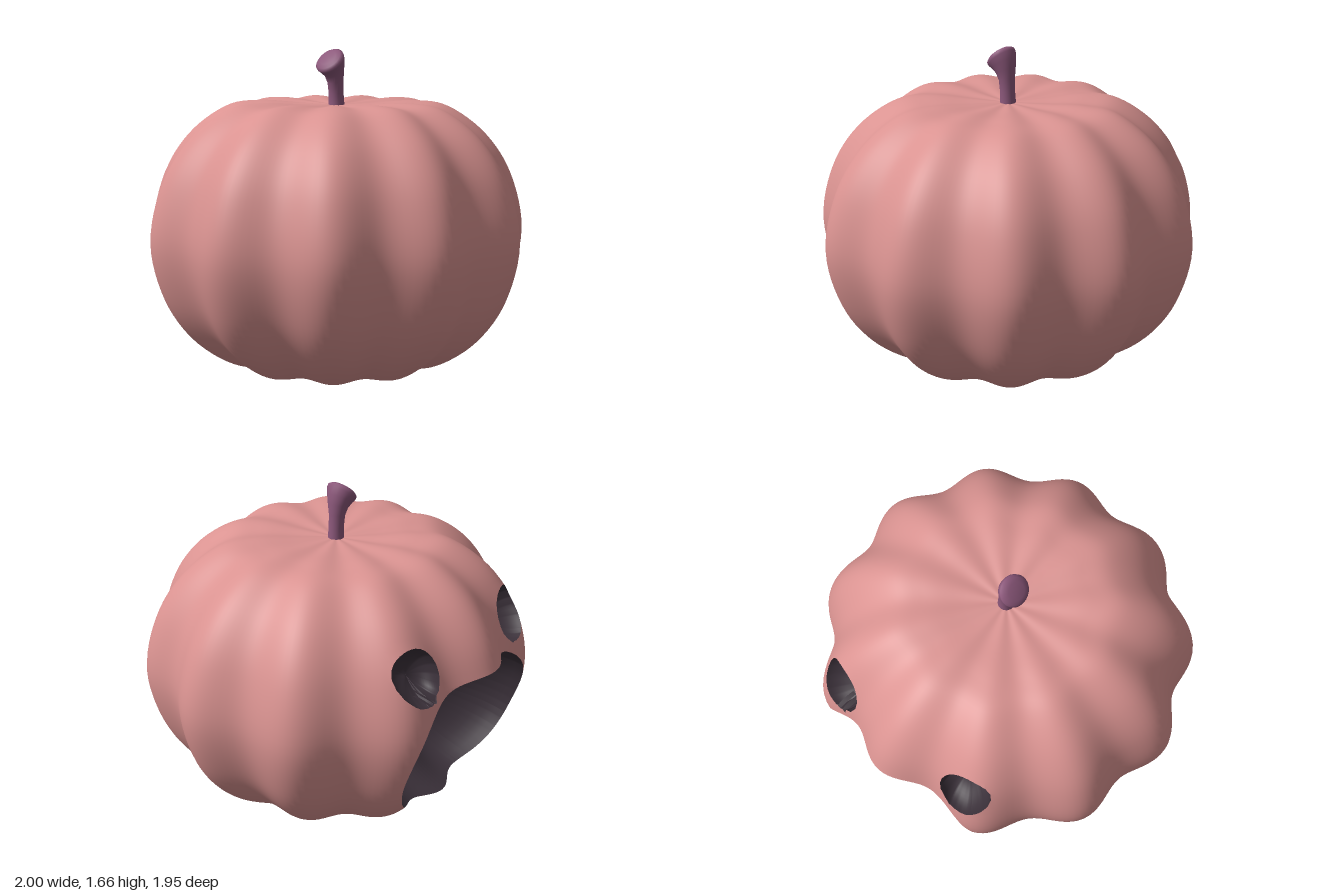
import * as THREE from 'three';
import { mergeVertices } from 'three/addons/utils/BufferGeometryUtils.js';

const MID = 0.695, RIBS = 11;

// Half profile of the body from top to bottom: radius, height
const upper = [[0, 1.368], [0.2, 1.378], [0.42, 1.389], [0.6, 1.356], [0.8, 1.21], [0.943, 0.99]];
const lower = upper.map(([r, y]) => [r, 2 * MID - y]).reverse();
const profile = new THREE.SplineCurve(
  [...upper, [1.009, MID], ...lower].map(([r, y]) => new THREE.Vector2(r, y)));

// Hollows carved into the back: centre, half width, half height, roundness,
// and depth as a share of the way to the middle of the body
const bodyCentre = new THREE.Vector3(0, MID, 0);
const hollows = [
  { centre: new THREE.Vector3(0.42, 1.005, -0.8), w: 0.13, h: 0.133, n: 2, depth: 0.15 },
  { centre: new THREE.Vector3(-0.42, 1.005, -0.8), w: 0.13, h: 0.133, n: 2, depth: 0.15 },
  { centre: new THREE.Vector3(0, 0.505, -0.78), w: 0.53, h: 0.407, n: 2.15, depth: 0.55 },
];
for (const hollow of hollows) {
  hollow.inward = bodyCentre.clone().sub(hollow.centre).multiplyScalar(hollow.depth);
}

// Ribbed skin at angle a (from +z) and profile position t
function skin(a, t) {
  const p = profile.getPoint(t);
  const groove = (1 - Math.cos(RIBS * (a - Math.PI))) / 2;
  const r = Math.max(0, p.x) * (1 - (0.045 + 0.035 * p.x) * groove);
  const y = MID + (p.y - MID) * (1 - 0.02 * groove * Math.min(1, p.x / 0.42));
  return new THREE.Vector3(r * Math.sin(a), y, r * Math.cos(a));
}

// Negative within the outline of a hollow, positive outside it
function outline({ centre, w, h, n }, pos) {
  if (pos.z > 0) return 1;
  const dx = Math.abs((pos.x - centre.x) / w), dy = Math.abs((pos.y - centre.y) / h);
  return (dx ** n + dy ** n) ** (1 / n) - 1;
}

const solid = (pos) => Math.min(1, ...hollows.map((hollow) => outline(hollow, pos)));

// Rounded bowl wall running from rim edge p-q down to the deepest point
function bowlStrip(p, q, out) {
  const hollow = hollows.reduce((best, other) =>
    Math.abs(outline(other, p)) < Math.abs(outline(best, p)) ? other : best);
  const steps = 14;
  const at = (rim, k) => {
    const s = (k / steps) * Math.PI / 2;
    return rim.clone().sub(hollow.centre).multiplyScalar(Math.cos(s))
      .add(hollow.centre).addScaledVector(hollow.inward, Math.sin(s));
  };
  for (let k = 0; k < steps; k++) {
    const p0 = at(p, k), q0 = at(q, k), p1 = at(p, k + 1), q1 = at(q, k + 1);
    out.push(q0, p0, p1);
    if (k < steps - 1) out.push(q0, p1, q1);
  }
}

function smoothGeometry(points) {
  const g = mergeVertices(new THREE.BufferGeometry().setFromPoints(points), 1e-5);
  g.computeVertexNormals();
  return g;
}

// Cuts the outlines out of the skin and lines each opening with a bowl
function carveBody() {
  const outer = [], bowls = [];
  const cols = 198, rows = 72;
  const grid = [];
  for (let j = 0; j <= rows; j++) {
    grid.push([]);
    for (let i = 0; i <= cols; i++) {
      const a = (i / cols) * Math.PI * 2, t = j / rows, pos = skin(a, t);
      grid[j].push({ a, t, pos, f: solid(pos), cut: false });
    }
  }
  const crossing = (p, q) => {
    const k = p.f / (p.f - q.f);
    return { pos: skin(p.a + (q.a - p.a) * k, p.t + (q.t - p.t) * k), cut: true };
  };
  const addTriangle = (tri) => {
    const poly = [];
    tri.forEach((p, i) => {
      const q = tri[(i + 1) % 3];
      if (p.f >= 0) poly.push(p);
      if ((p.f >= 0) !== (q.f >= 0)) poly.push(p.f >= 0 ? crossing(p, q) : crossing(q, p));
    });
    for (let i = 1; i + 1 < poly.length; i++) {
      outer.push(poly[0].pos, poly[i].pos, poly[i + 1].pos);
    }
    poly.forEach((p, i) => {
      const q = poly[(i + 1) % poly.length];
      if (p.cut && q.cut) bowlStrip(p.pos, q.pos, bowls);
    });
  };
  for (let j = 0; j < rows; j++) {
    for (let i = 0; i < cols; i++) {
      const a = grid[j][i], b = grid[j + 1][i], c = grid[j + 1][i + 1], d = grid[j][i + 1];
      if (j < rows - 1) addTriangle([a, b, c]);
      if (j > 0) addTriangle([a, c, d]);
    }
  }
  return [outer, bowls].map(smoothGeometry);
}

// Stem: rings from tip to base as centre x, y, radius, tilt
function stemGeometry() {
  const rings = [
    [-0.066, 1.616, 0, 0.8], [-0.065, 1.615, 0.045, 0.8], [-0.061, 1.61, 0.068, 0.8],
    [-0.054, 1.603, 0.08, 0.79], [-0.044, 1.592, 0.079, 0.75], [-0.03, 1.568, 0.067, 0.6],
    [-0.016, 1.535, 0.053, 0.4], [-0.008, 1.49, 0.042, 0.18], [-0.003, 1.43, 0.039, 0.05],
    [0, 1.38, 0.041, 0], [0, 1.34, 0.044, 0],
  ];
  const sides = 24;
  const g = new THREE.CylinderGeometry(1, 1, 1, sides, rings.length - 1, true);
  const pos = g.attributes.position;
  for (let i = 0; i < pos.count; i++) {
    const [cx, cy, r, tilt] = rings[Math.floor(i / (sides + 1))];
    const x = pos.getX(i) * r, z = pos.getZ(i) * r;
    pos.setXYZ(i, cx + x * Math.cos(tilt), cy + x * Math.sin(tilt), z);
  }
  g.deleteAttribute('normal');
  g.deleteAttribute('uv');
  const merged = mergeVertices(g, 1e-5);
  merged.computeVertexNormals();
  return merged;
}

export function createModel() {
  const material = (name, color) => {
    const m = new THREE.MeshStandardMaterial({ color });
    m.name = name;
    return m;
  };
  const rind = material('rind pink', 0xda9391);
  const dark = material('hollow dark', 0x3a3039);
  dark.side = THREE.DoubleSide;
  const stalk = material('stem purple', 0x8c587b);

  const group = new THREE.Group();
  group.name = 'carvedPumpkin';
  const add = (name, geometry, mat) => {
    const mesh = new THREE.Mesh(geometry, mat);
    mesh.name = name;
    group.add(mesh);
  };
  const [outer, bowls] = carveBody();
  add('ribbedSkin', outer, rind);
  add('eyeAndMouthHollows', bowls, dark);
  add('stem', stemGeometry(), stalk);
  return group;
}
